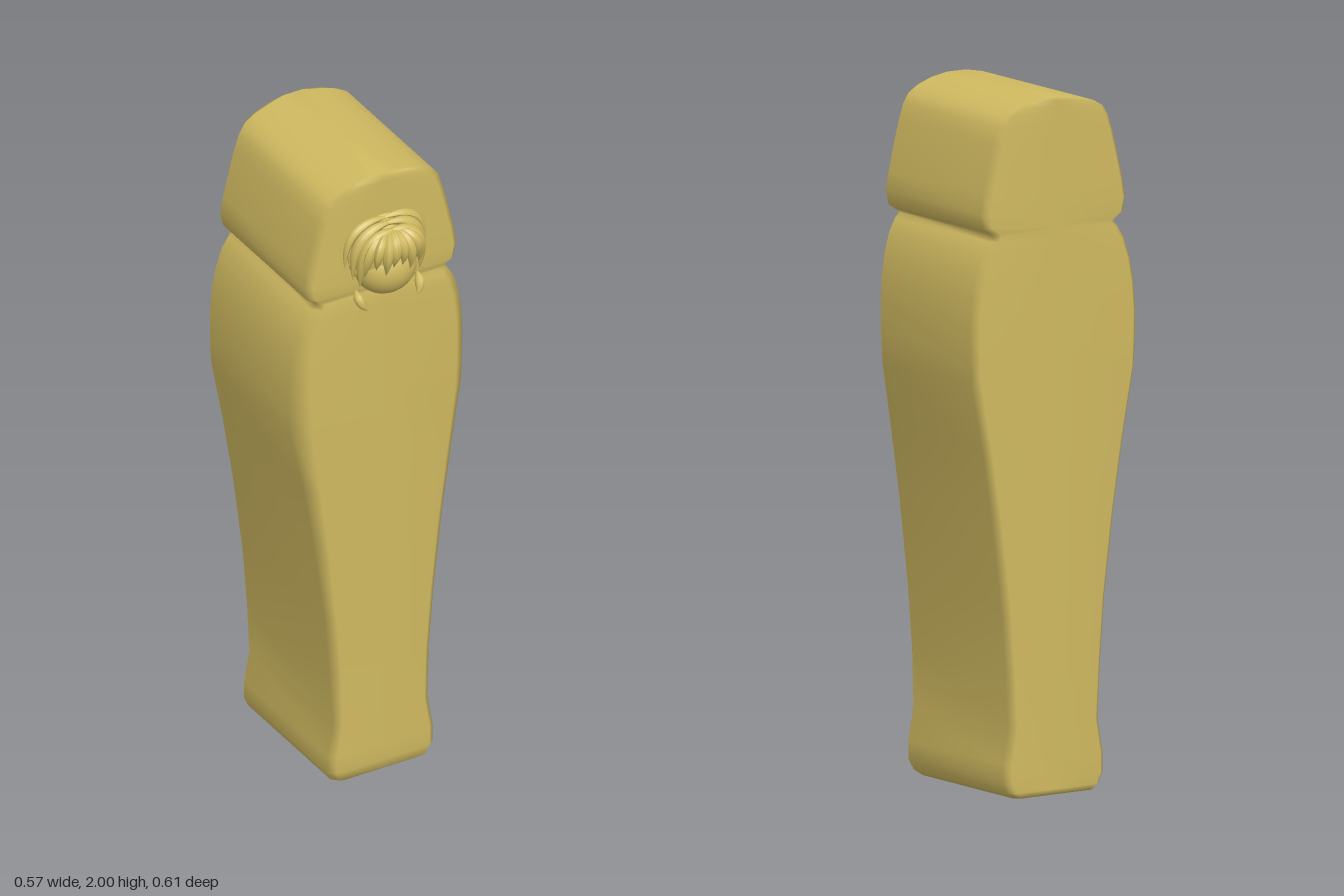
import * as THREE from 'three';

const gold = new THREE.MeshStandardMaterial({ color: 0xcfb960 });
gold.name = 'gold';

const mesh = (name, geometry, parent) => {
  const m = new THREE.Mesh(geometry, gold);
  m.name = name;
  parent.add(m);
  return m;
};

// Casket: chamfered box sections stacked up the height.
// Each section: [height, half width, front z, front chamfer]
const SECTIONS = [
  [0, 0.14, 0.175, 0.02], [0.015, 0.158, 0.193, 0.02], [0.045, 0.172, 0.2, 0.02],
  [0.1, 0.172, 0.2, 0.02], [0.2, 0.155, 0.2, 0.02], [0.36, 0.163, 0.2, 0.025],
  [0.55, 0.178, 0.2, 0.025], [0.8, 0.21, 0.2, 0.03], [1.0, 0.242, 0.2, 0.035],
  [1.2, 0.28, 0.2, 0.045], [1.28, 0.284, 0.2, 0.045], [1.36, 0.285, 0.2, 0.045],
  [1.44, 0.279, 0.2, 0.04], [1.51, 0.266, 0.2, 0.035], [1.57, 0.245, 0.2, 0.03],
  [1.605, 0.222, 0.2, 0.025], [1.62, 0.208, 0.195, 0.02], [1.63, 0.22, 0.196, 0.02],
  [1.645, 0.241, 0.2, 0.02], [1.685, 0.25, 0.2, 0.02], [1.74, 0.241, 0.2, 0.02],
  [1.82, 0.222, 0.2, 0.02], [1.885, 0.205, 0.2, 0.02], [1.93, 0.19, 0.2, 0.02],
  [1.957, 0.168, 0.2, 0.015], [1.975, 0.135, 0.2, 0.012], [1.99, 0.09, 0.2, 0.01],
  [2, 0.04, 0.194, 0.01],
];

function casketGeometry() {
  const pos = [], idx = [], n = 10, back = -0.3;
  for (const [y, w, f, c] of SECTIONS) {
    const b = Math.min(0.02, c);
    const ring = [
      [-w + c, f], [0, f], [w - c, f], [w, f - c], [w, back + b],
      [w - b, back], [0, back], [-w + b, back], [-w, back + b], [-w, f - c],
    ];
    for (const [x, z] of ring) pos.push(x, y, z);
  }
  const last = SECTIONS.length - 1;
  for (let i = 0; i < last; i++) {
    for (let j = 0; j < n; j++) {
      const a = i * n + j, b = i * n + (j + 1) % n;
      idx.push(a, b, a + n, b, b + n, a + n);
    }
  }
  // End caps
  const lo = pos.length / 3;
  pos.push(0, 0, -0.05, 0, 2, -0.05);
  for (let j = 0; j < n; j++) {
    const k = (j + 1) % n;
    idx.push(lo, k, j, lo + 1, last * n + j, last * n + k);
  }
  const g = new THREE.BufferGeometry();
  g.setAttribute('position', new THREE.Float32BufferAttribute(pos, 3));
  g.setIndex(idx);
  g.computeVertexNormals();
  return g;
}

// Hair lock: tube along a curve, swelling in the middle and tapering to its tip
function lockGeometry(from, via, to, radius, root = 0.4) {
  const curve = new THREE.QuadraticBezierCurve3(
    new THREE.Vector3(...from), new THREE.Vector3(...via), new THREE.Vector3(...to));
  const seg = 14, sides = 8;
  const g = new THREE.TubeGeometry(curve, seg, radius, sides);
  const p = g.attributes.position, v = new THREE.Vector3();
  for (let i = 0; i <= seg; i++) {
    const t = i / seg, c = curve.getPointAt(t);
    const s = t < 0.4 ? root + (1 - root) * Math.sin(t / 0.4 * Math.PI / 2)
      : Math.max(0.01, Math.cos((t - 0.4) / 0.6 * Math.PI / 2));
    for (let j = 0; j <= sides; j++) {
      const k = i * (sides + 1) + j;
      v.fromBufferAttribute(p, k).sub(c).multiplyScalar(s).add(c);
      p.setXYZ(k, v.x, v.y, v.z);
    }
  }
  g.computeVertexNormals();
  return g;
}

function ellipsoid(name, parent, center, radii) {
  const m = mesh(name, new THREE.SphereGeometry(1, 32, 20), parent);
  m.position.set(...center);
  m.scale.set(...radii);
}

export function createModel() {
  const model = new THREE.Group();
  model.name = 'casket';
  mesh('casketBody', casketGeometry(), model);

  // Carved portrait on the hood
  const portrait = new THREE.Group();
  portrait.name = 'portrait';
  model.add(portrait);
  ellipsoid('face', portrait, [0, 1.705, 0.205], [0.094, 0.087, 0.083]);
  ellipsoid('hairCap', portrait, [0, 1.755, 0.2], [0.106, 0.098, 0.075]);
  ellipsoid('backHair', portrait, [0, 1.755, 0.2], [0.118, 0.112, 0.025]);

  for (const s of [-1, 1]) {
    // Layered side hair sweeping round the head
    mesh('outerSideHair', lockGeometry([0, 1.857, 0.205], [s * 0.135, 1.87, 0.205], [s * 0.13, 1.725, 0.205], 0.014), portrait);
    mesh('middleSideHair', lockGeometry([0, 1.85, 0.225], [s * 0.125, 1.85, 0.225], [s * 0.112, 1.69, 0.22], 0.017), portrait);
    mesh('innerSideHair', lockGeometry([0, 1.838, 0.25], [s * 0.11, 1.84, 0.25], [s * 0.098, 1.67, 0.235], 0.02), portrait);
    mesh('sideWisp', lockGeometry([s * 0.1, 1.77, 0.215], [s * 0.11, 1.74, 0.215], [s * 0.128, 1.735, 0.21], 0.01), portrait);

    // Fringe
    const fringe = [[0.018, 0.01, 1.735, 0.276], [0.045, 0.035, 1.715, 0.276],
      [0.075, 0.06, 1.735, 0.264], [0.098, 0.085, 1.705, 0.242]];
    for (const [mid, tip, y, z] of fringe) {
      mesh('fringeLock', lockGeometry([s * mid * 0.3, 1.835, 0.25], [s * mid, 1.815, z + 0.034],
        [s * (tip + 0.004), y, z + 0.004], 0.017), portrait);
    }

    // Small hanging locks below the ears
    mesh('hangingLock', lockGeometry([s * 0.1, 1.65, 0.215], [s * 0.105, 1.62, 0.24], [s * 0.08, 1.595, 0.25], 0.015, 0.2), portrait);
  }
  mesh('centreLock', lockGeometry([0, 1.84, 0.25], [-0.005, 1.81, 0.312], [-0.015, 1.74, 0.283], 0.014), portrait);
  return model;
}
